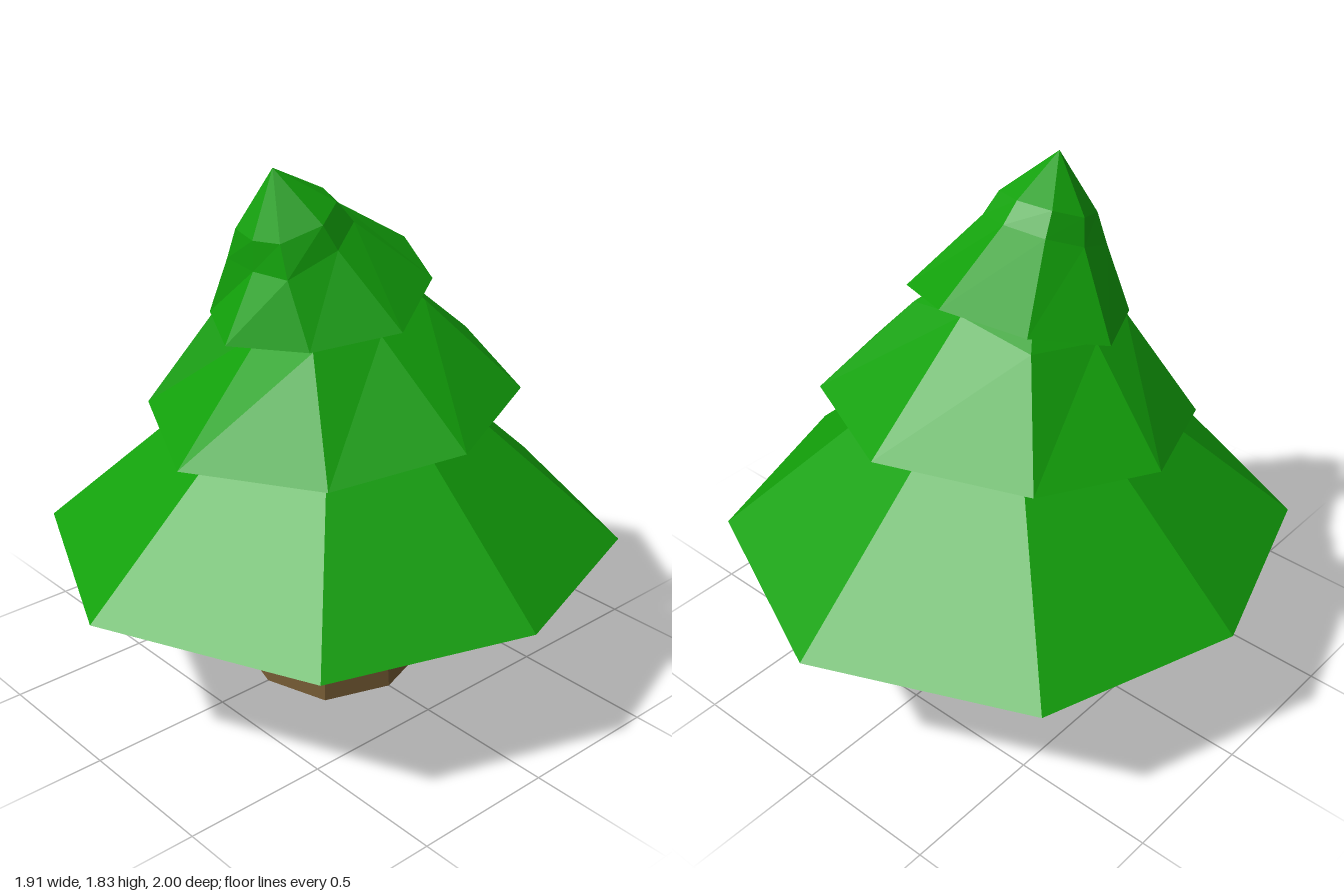
import * as THREE from 'three';

const green = new THREE.MeshStandardMaterial({ color: 0x12a00a, flatShading: true });
const brown = new THREE.MeshStandardMaterial({ color: 0x745a33, flatShading: true });

// Eight-sided ring from its front, front corner, side, back corner and back, mirrored across x
function ring(...half) {
  return Array.from({ length: 8 }, (_, i) => {
    const [x, y, z] = half[Math.min(i, 8 - i)];
    return new THREE.Vector3(i > 4 ? -x : x, y, z);
  });
}

// Level ring that is alike front and back
function levelRing(y, x, z, cornerX, cornerZ) {
  return ring([0, y, z], [cornerX, y, cornerZ], [x, y, 0], [cornerX, y, -cornerZ], [0, y, -z]);
}

function meshOf(points, material, name) {
  const geometry = new THREE.BufferGeometry().setFromPoints(points);
  geometry.computeVertexNormals();
  const mesh = new THREE.Mesh(geometry, material);
  mesh.name = name;
  return mesh;
}

// Walls through the rings, from bottom to top, closed by an apex
function shell(rings, apex) {
  const points = [];
  rings.forEach((low, r) => {
    const high = rings[r + 1];
    for (let i = 0; i < 8; i++) {
      const j = (i + 1) % 8;
      if (high) points.push(low[i], low[j], high[j], low[i], high[j], high[i]);
      else points.push(low[i], low[j], apex);
    }
  });
  return points;
}

// Downward-facing fan under a ring
function underside(rim, centre) {
  return rim.flatMap((p, i) => [p, centre, rim[(i + 1) % 8]]);
}

export function createModel() {
  const tree = new THREE.Group();
  tree.name = 'tree';

  function addPart(name, rings, apex, base, material) {
    const part = new THREE.Group();
    part.name = name;
    part.add(
      meshOf(shell(rings, apex), material, name + 'Sides'),
      meshOf(underside(rings[0], base), brown, name + 'Underside'),
    );
    tree.add(part);
  }
  const v = (y, z) => new THREE.Vector3(0, y, z);

  // Tapered trunk, reaching into the hollow of the bottom tier
  addPart('trunk', [
    levelRing(0, 0.305, 0.297, 0.226, 0.228),
    levelRing(0.61, 0.255, 0.25, 0.189, 0.191),
  ], v(0.61, 0), v(0, 0), brown);

  // Level bottom tier
  addPart('lowerBranches', [
    levelRing(0.51, 0.953, 1, 0.725, 0.68),
  ], v(1.38, 0), v(0.62, 0), green);

  // Middle tier, tilted, with a flattened front
  addPart('middleBranches', [
    ring([0, 0.927, 0.645], [0.468, 0.955, 0.425], [0.633, 1.01, 0], [0.468, 1.065, -0.425], [0, 1.097, -0.645]),
    ring([0, 1.31, 0.295], [0.25, 1.31, 0.295], [0.31, 1.325, 0.065], [0.25, 1.37, -0.185], [0, 1.43, -0.23]),
  ], v(1.62, 0.14), v(1.09, 0), green);

  // Top tier with a bent crown leaning forward
  addPart('topBranches', [
    ring([0, 1.297, 0.442], [0.252, 1.313, 0.31], [0.383, 1.35, 0.043], [0.255, 1.44, -0.21], [0, 1.497, -0.328]),
    ring([0, 1.515, 0.325], [0.15, 1.52, 0.31], [0.19, 1.59, 0.14], [0.13, 1.645, 0.02], [0, 1.67, -0.03]),
    ring([0, 1.615, 0.325], [0.11, 1.625, 0.305], [0.16, 1.67, 0.175], [0.11, 1.715, 0.075], [0, 1.73, 0.035]),
  ], v(1.83, 0.24), v(1.47, 0.08), green);

  return tree;
}
